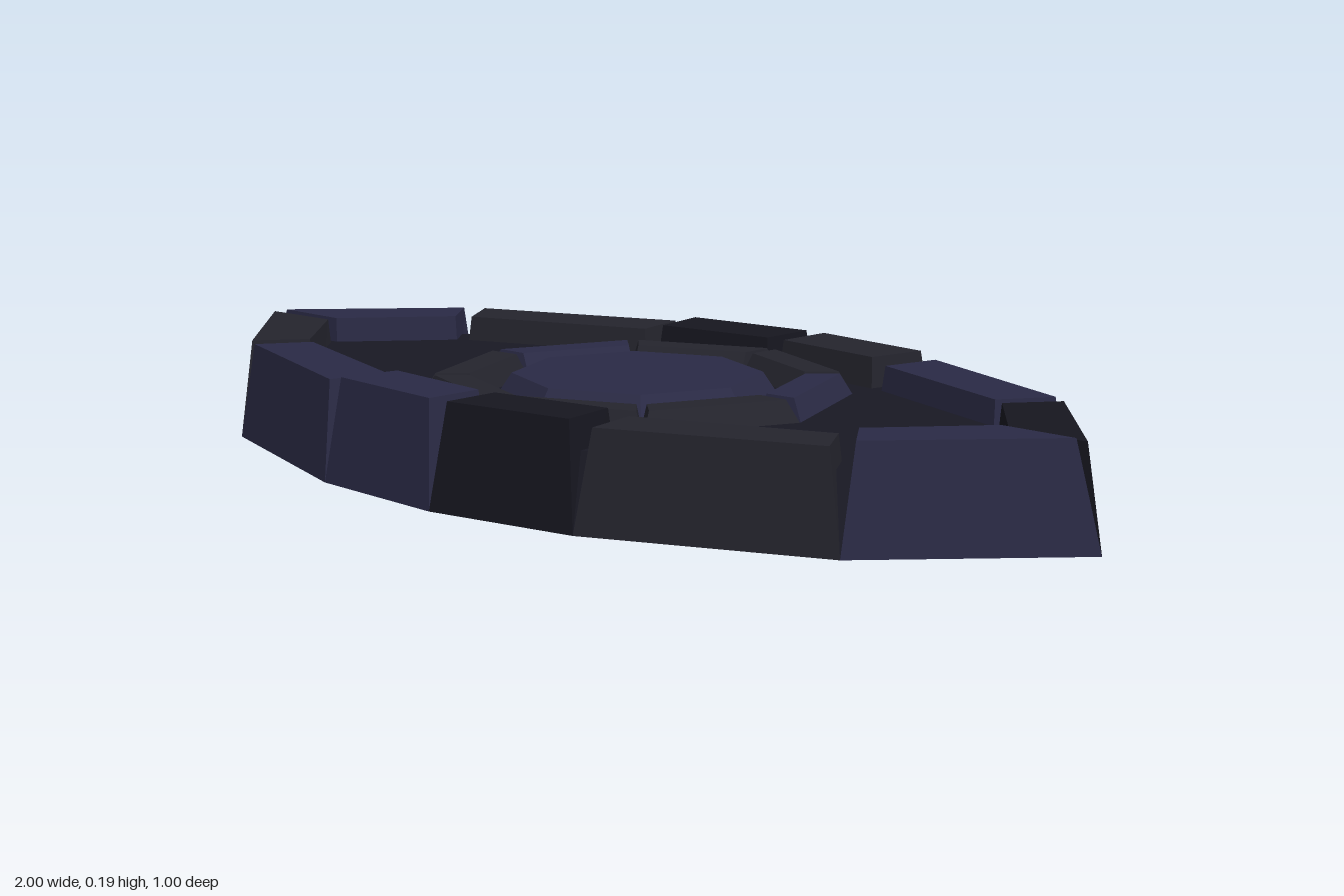
import * as THREE from 'three';

const BLUE = 0x2a2a45, GREY = 0x24242d, DARK = 0x16161f, FLOOR = 0x181823;

// Convex tapered solid between two outlines of [x, z] points (ordered from +x towards +z)
function taper(name, color, low, high, y0, y1, base = false) {
  const pos = [], n = low.length;
  const b = low.map(([x, z]) => [x, y0, z]);
  const t = high.map(([x, z]) => [x, y1, z]);
  for (let i = 0; i < n; i++) {
    const j = (i + 1) % n;
    pos.push(...b[i], ...t[i], ...b[j], ...t[i], ...t[j], ...b[j]);
  }
  for (let i = 1; i < n - 1; i++) {
    pos.push(...t[0], ...t[i + 1], ...t[i]);
    if (base) pos.push(...b[0], ...b[i], ...b[i + 1]);
  }
  const geo = new THREE.BufferGeometry();
  geo.setAttribute('position', new THREE.Float32BufferAttribute(pos, 3));
  geo.computeVertexNormals();
  const mesh = new THREE.Mesh(geo, new THREE.MeshStandardMaterial({ color, flatShading: true }));
  mesh.name = name;
  return mesh;
}

const mix = (p, q, t) => [p[0] + (q[0] - p[0]) * t, p[1] + (q[1] - p[1]) * t];

// Stone whose top is drawn in from the ends and from both long sides
function stone(name, color, a, b, ib, ia, y0, y1, end, vOut, vIn) {
  const u = end / Math.hypot(b[0] - a[0], b[1] - a[1]);
  const at = (s, v) => mix(mix(a, b, s), mix(ia, ib, s), v);
  const top = [at(u, vOut), at(1 - u, vOut), at(1 - u, vIn), at(u, vIn)];
  return taper(name, color, [a, b, ib, ia], top, y0, y1);
}

// Mirror a quarter outline into a closed loop of 12 points
function mirrorLoop([tip, p, q, side]) {
  const flip = ([x, z], sx, sz) => [x * sx, z * sz];
  return [tip, p, q, side, flip(q, -1, 1), flip(p, -1, 1), flip(tip, -1, 1),
    flip(p, -1, -1), flip(q, -1, -1), flip(side, 1, -1), flip(q, 1, -1), flip(p, 1, -1)];
}

const octagon = (r) => Array.from({ length: 8 }, (_, i) =>
  [r * Math.cos(i * Math.PI / 4), r * Math.sin(i * Math.PI / 4)]);

export function createModel() {
  const model = new THREE.Group();
  model.name = 'stonePlatform';

  const outer = mirrorLoop([[1, 0], [0.72, 0.3], [0.3, 0.465], [0, 0.5]]);
  const inner = mirrorLoop([[0.79, 0], [0.64, 0.18], [0.27, 0.315], [0, 0.35]]);

  // Floor slab filling the rim
  model.add(taper('floorSlab', FLOOR, outer, outer.map(([x, z]) => [x * 0.91, z * 0.91]), 0, 0.13, true));

  // Rim of twelve stones
  const rim = new THREE.Group();
  rim.name = 'rim';
  const rimColors = [BLUE, GREY, DARK, BLUE, BLUE, GREY, BLUE, GREY, DARK, GREY, BLUE, DARK];
  const tall = [0, 2, 3, 8, 9];
  rimColors.forEach((color, i) => {
    const j = (i + 1) % 12;
    rim.add(stone('rimStone', color, outer[i], outer[j], inner[j], inner[i],
      0, tall.includes(i) ? 0.185 : 0.175, 0.022, 0.14, 0.88));
  });
  model.add(rim);

  // Octagonal ring of eight stones
  const ring = new THREE.Group();
  ring.name = 'centreRing';
  const ro = octagon(0.38), ri = octagon(0.27);
  [GREY, GREY, GREY, GREY, BLUE, GREY, GREY, BLUE].forEach((color, i) => {
    const j = (i + 1) % 8;
    ring.add(stone('ringStone', color, ro[i], ro[j], ri[j], ri[i], 0.125, 0.168, 0.012, 0.2, 0.75));
  });
  model.add(ring);

  // Central octagonal stone
  model.add(taper('centreStone', BLUE, octagon(0.25), octagon(0.22), 0.125, 0.17));
  return model;
}
